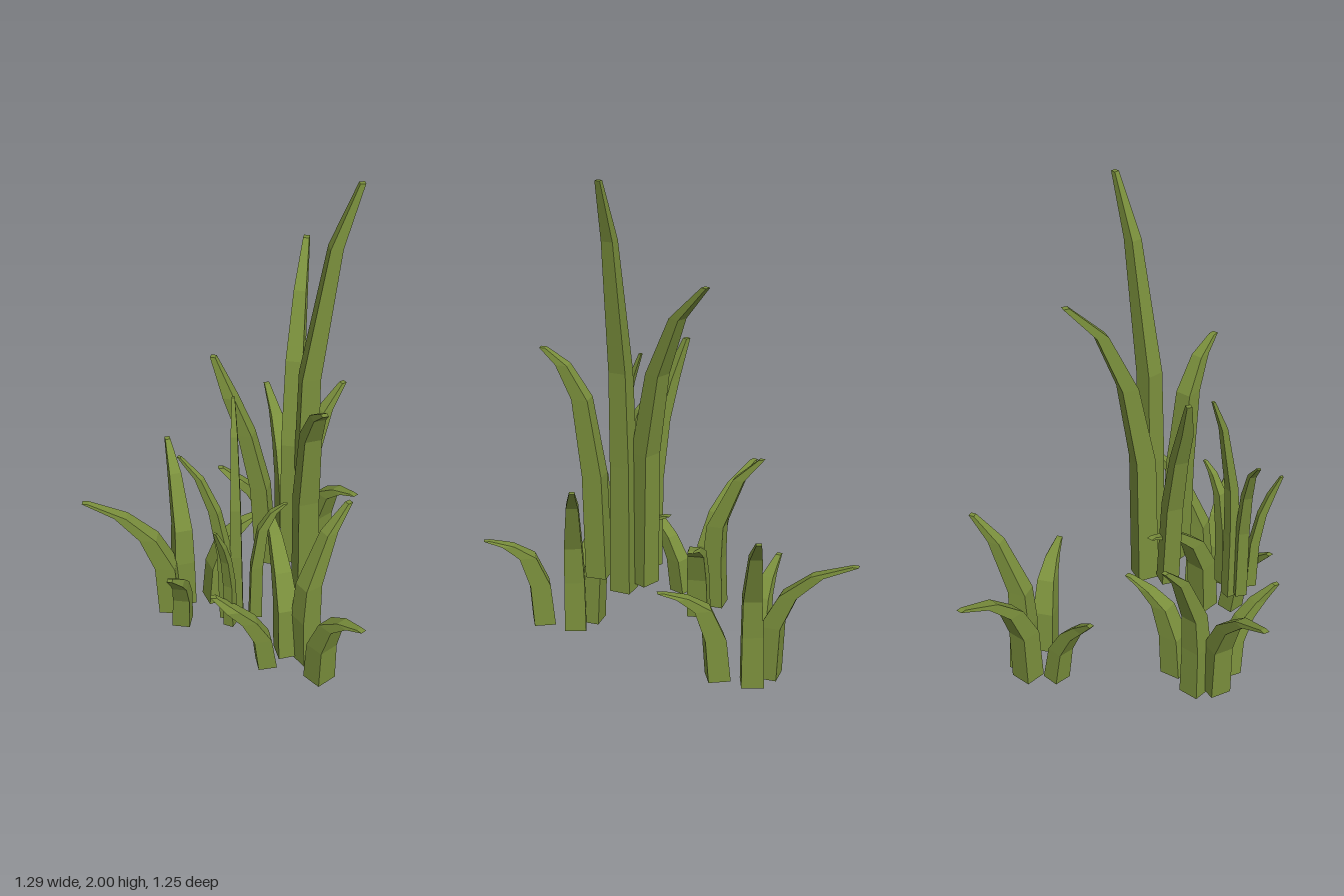
import * as THREE from 'three';

// Blade paths within one tuft: [x, y, z, width] from root to tip
const BLADES = {
  leaningBlade: [
    [-0.35, 0.01, -0.385, 0.09], [-0.36, 0.24, -0.393, 0.085], [-0.415, 0.38, -0.432, 0.07],
    [-0.505, 0.48, -0.5, 0.05], [-0.625, 0.54, -0.585, 0.025],
  ],
  tallBlade: [
    [-0.27, 0, -0.415, 0.09], [-0.27, 0.22, -0.41, 0.085], [-0.263, 0.38, -0.42, 0.075],
    [-0.238, 0.6, -0.515, 0.05], [-0.214, 0.7, -0.61, 0.022],
  ],
  sideBlade: [
    [-0.15, 0.01, -0.345, 0.09], [-0.135, 0.19, -0.34, 0.085], [-0.085, 0.32, -0.335, 0.07],
    [-0.005, 0.375, -0.325, 0.05], [0.08, 0.4, -0.31, 0.025],
  ],
  shortBlade: [
    [-0.36, 0.02, -0.265, 0.075], [-0.365, 0.17, -0.245, 0.07], [-0.395, 0.27, -0.2, 0.06],
    [-0.435, 0.335, -0.15, 0.05], [-0.493, 0.4, -0.106, 0.022],
  ],
};
const TUFT_CENTRE = [-0.3125, -0.405];

// Tufts: position, turn in degrees, horizontal and vertical scale
const TUFTS = [
  { name: 'backTuft', at: [-0.3125, 0, -0.405], turn: 0, wide: 1, high: 1 },
  { name: 'rightTuft', at: [-0.3625, 0, 0.345], turn: 71, wide: 0.98, high: 1 },
  { name: 'leftTuft', at: [0.2375, 0, 0.275], turn: 0, wide: 1, high: 1 },
  { name: 'tallTuft', at: [0.08, 0.25, 0.055], turn: -25, wide: 0.97, high: 2.5 },
  { name: 'thinTuft', at: [0.03, 0.2, 0.435], turn: 55, wide: 0.54, high: 1.39 },
];

// Square level cross-sections joined along the path, closed at both ends
function bladeGeometry(path) {
  const root = path[0], tip = path[path.length - 1];
  const yaw = Math.atan2(tip[2] - root[2], tip[0] - root[0]);
  const points = [], index = [];
  path.forEach(([x, y, z, w], s) => {
    for (let k = 0; k < 4; k++) {
      const a = yaw + Math.PI / 4 + k * Math.PI / 2;
      points.push(
        x - TUFT_CENTRE[0] + Math.cos(a) * w * Math.SQRT1_2, y,
        z - TUFT_CENTRE[1] + Math.sin(a) * w * Math.SQRT1_2);
      if (s === 0) continue;
      const i = (s - 1) * 4 + k, j = (s - 1) * 4 + (k + 1) % 4;
      index.push(j, i, i + 4, j, i + 4, j + 4);
    }
  });
  const t = (path.length - 1) * 4;
  index.push(0, 1, 2, 0, 2, 3, t, t + 2, t + 1, t, t + 3, t + 2);
  const indexed = new THREE.BufferGeometry();
  indexed.setAttribute('position', new THREE.Float32BufferAttribute(points, 3));
  indexed.setIndex(index);
  const geometry = indexed.toNonIndexed();
  geometry.computeVertexNormals();
  return geometry;
}

export function createModel() {
  const model = new THREE.Group();
  model.name = 'grass';
  const green = new THREE.MeshStandardMaterial({ color: 0x7a8f3c, flatShading: true });
  const blades = Object.entries(BLADES).map(([name, path]) => [name, bladeGeometry(path)]);

  for (const { name, at, turn, wide, high } of TUFTS) {
    const tuft = new THREE.Group();
    tuft.name = name;
    for (const [bladeName, geometry] of blades) {
      const blade = new THREE.Mesh(geometry, green);
      blade.name = bladeName;
      tuft.add(blade);
    }
    tuft.position.set(...at);
    tuft.rotation.y = THREE.MathUtils.degToRad(turn);
    tuft.scale.set(wide, high, wide);
    model.add(tuft);
  }
  return model;
}
